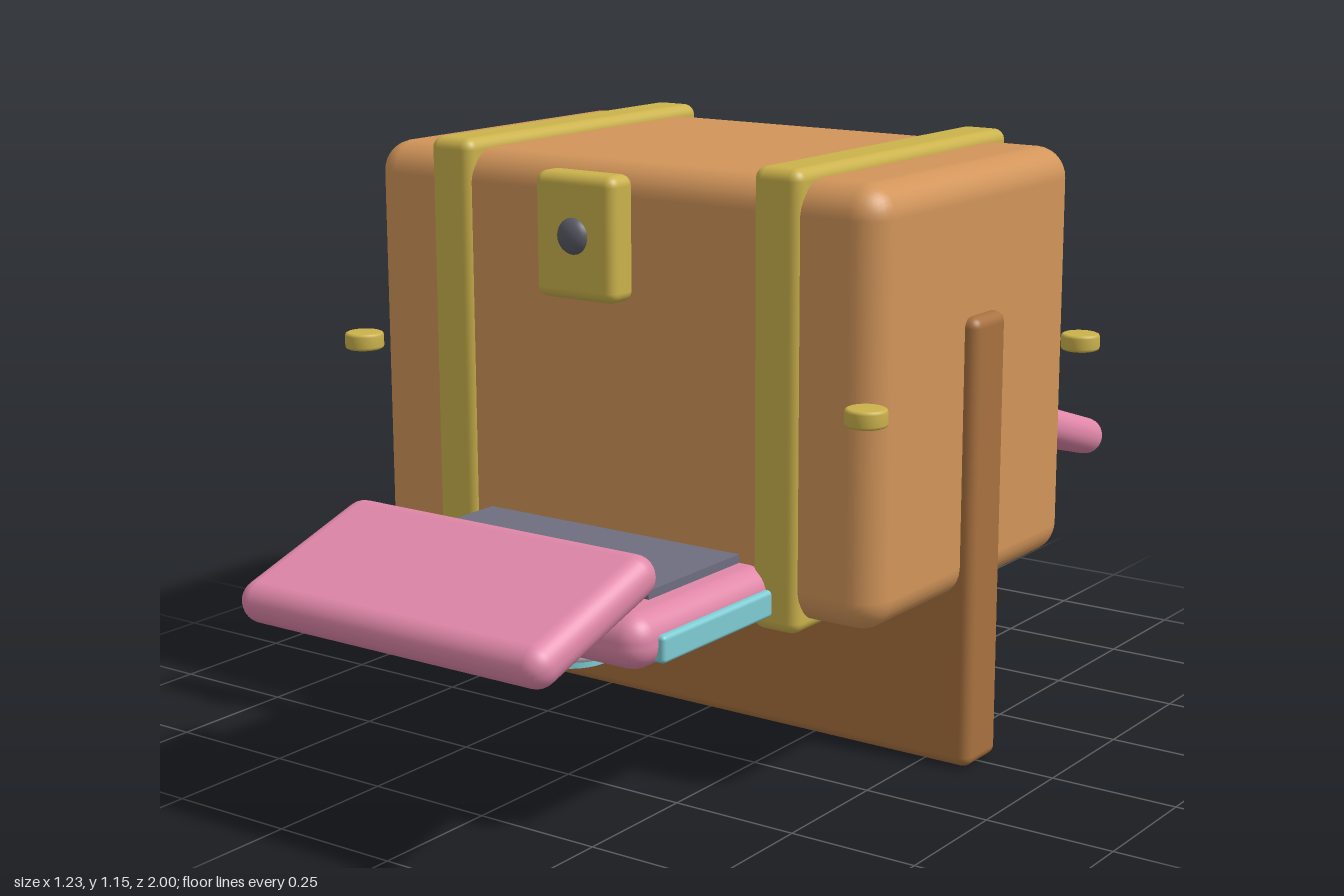
import * as THREE from 'three';
import { RoundedBoxGeometry } from 'three/addons/geometries/RoundedBoxGeometry.js';

const mat = (name, color) => {
  const m = new THREE.MeshStandardMaterial({ color });
  m.name = name;
  return m;
};

export function createModel() {
  const tan = mat('tan', 0xd2955a);
  const brown = mat('brown', 0xa8713f);
  const gold = mat('gold', 0xcbb24c);
  const pink = mat('pink', 0xe087a8);
  const slate = mat('slate', 0x6e6e80);
  const charcoal = mat('charcoal', 0x5a5a66);
  const cyan = mat('cyan', 0x7fccd4);
  const silver = mat('silver', 0xc6c6ca);

  const model = new THREE.Group();
  model.name = 'chest';

  const add = (parent, name, geometry, material, x, y, z) => {
    const mesh = new THREE.Mesh(geometry, material);
    mesh.name = name;
    mesh.position.set(x, y, z);
    parent.add(mesh);
    return mesh;
  };
  const rounded = (w, h, d, r) => new RoundedBoxGeometry(w, h, d, 4, r);

  // Short disc with softened rims
  const disc = (r, h, b) => new THREE.LatheGeometry([
    [0, -h / 2], [r - b, -h / 2], [r - b * 0.3, -h / 2 + b * 0.3], [r, -h / 2 + b],
    [r, h / 2 - b], [r - b * 0.3, h / 2 - b * 0.3], [r - b, h / 2], [0, h / 2],
  ].map(([x, y]) => new THREE.Vector2(x, y)), 28);

  // Main box and the upright board running through it
  add(model, 'body', rounded(1.15, 0.8, 0.72, 0.06), tan, 0, 0.73, 0);
  add(model, 'standBoard', rounded(1.2, 0.86, 0.114, 0.02), brown, 0, 0.43, 0);

  // Straps and corner studs
  for (const x of [-1, 1]) {
    add(model, 'strap', rounded(0.1, 0.84, 0.74, 0.022), gold, x * 0.37, 0.73, 0);
    for (const z of [-1, 1]) {
      add(model, 'cornerStud', disc(0.038, 0.033, 0.006), gold, x * 0.577, 0.742, z * 0.395);
    }
  }

  // Clasp with its knob
  add(model, 'clasp', rounded(0.18, 0.23, 0.068, 0.02), gold, 0, 1.007, 0.432);
  const knob = add(model, 'claspKnob', new THREE.SphereGeometry(0.034, 24, 16), charcoal, 0, 1.01, 0.462);
  knob.scale.z = 0.65;

  // Matching trays on the front and back
  for (const turn of [0, Math.PI]) {
    const tray = new THREE.Group();
    tray.name = turn ? 'backTray' : 'frontTray';
    tray.rotation.y = turn;
    model.add(tray);

    add(tray, 'trayPlate', rounded(0.71, 0.1, 0.47, 0.045), pink, 0, 0.376, 0.515);
    add(tray, 'trayPanel', new THREE.BoxGeometry(0.58, 0.03, 0.335), slate, 0, 0.427, 0.4675);
    for (const x of [-1, 1]) {
      add(tray, 'sideStrip', rounded(0.03, 0.05, 0.375, 0.008), cyan, x * 0.352, 0.364, 0.508);
    }
    const flap = add(tray, 'tiltedFlap', rounded(0.69, 0.08, 0.352, 0.039), pink, 0, 0.444, 0.832);
    flap.rotation.x = 0.31;

    add(tray, 'thruster', disc(0.113, 0.09, 0.012), silver, 0, 0.293, 0.485);
    add(tray, 'thrusterGlow', new THREE.CylinderGeometry(0.075, 0.075, 0.04, 28), cyan, 0, 0.248, 0.485);
  }

  return model;
}
